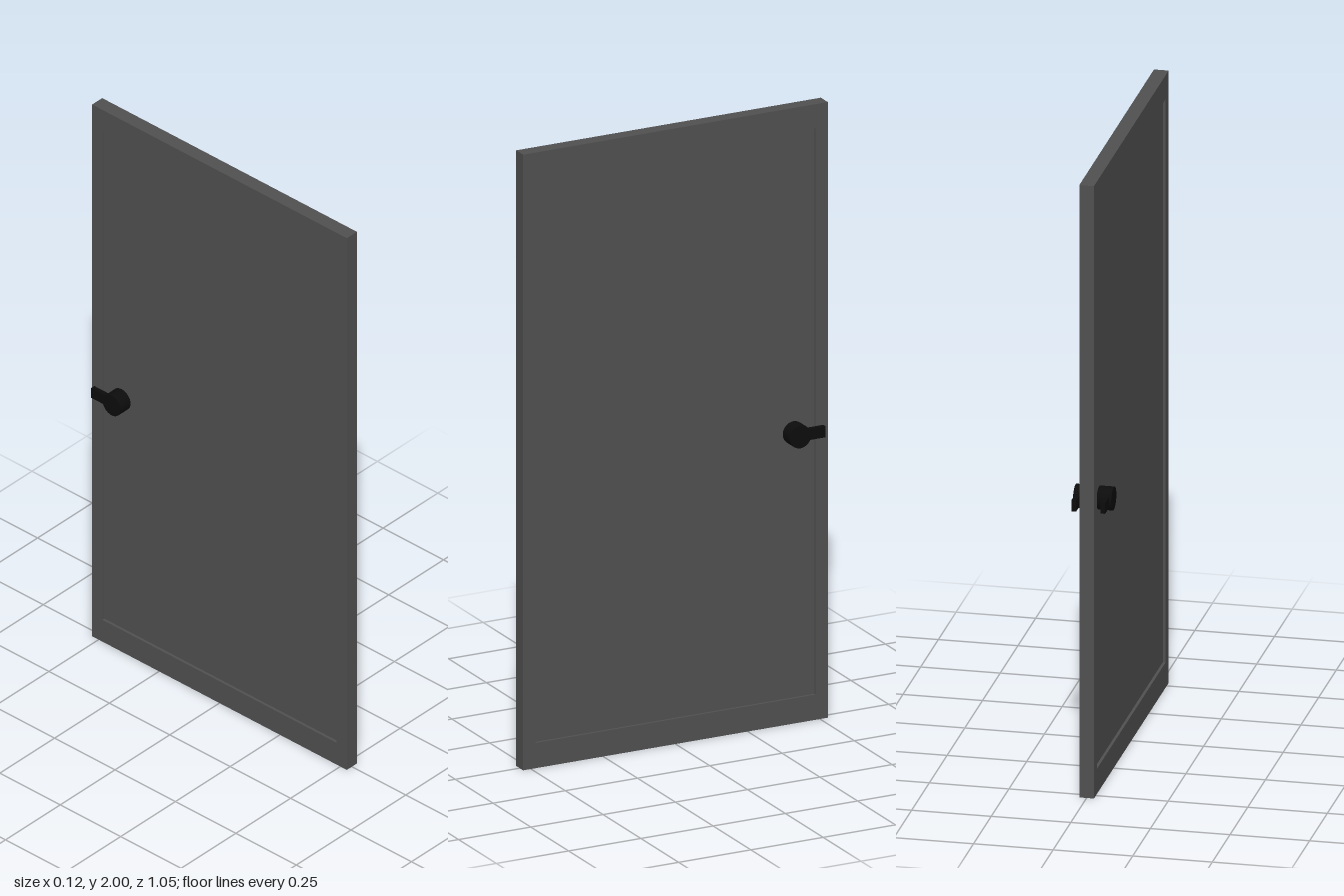
import * as THREE from 'three';

const H = 2, HALF_W = 0.527, HALF_T = 0.023;

export function createModel() {
  const door = new THREE.Group();
  door.name = 'door';
  const paint = new THREE.MeshStandardMaterial({ color: 0x505050 });
  const black = new THREE.MeshStandardMaterial({ color: 0x0c0c0c });

  const add = (name, geometry, material, x, y, z) => {
    const mesh = new THREE.Mesh(geometry, material);
    mesh.name = name;
    mesh.position.set(x, y, z);
    door.add(mesh);
    return mesh;
  };

  // Border frame: outline with a rectangular opening, extruded through the thickness
  const rect = (Type, w, y0, y1) => new Type([
    new THREE.Vector2(-w, y0), new THREE.Vector2(w, y0),
    new THREE.Vector2(w, y1), new THREE.Vector2(-w, y1),
  ]);
  const outline = rect(THREE.Shape, HALF_W, 0, H);
  outline.holes.push(rect(THREE.Path, 0.485, 0.082, 1.922));
  const frame = new THREE.ExtrudeGeometry(outline, { depth: HALF_T * 2, bevelEnabled: false });
  frame.translate(0, 0, -HALF_T).rotateY(Math.PI / 2);
  add('frame', frame, paint, 0, 0, 0);

  // Recessed panel
  add('panel', new THREE.BoxGeometry(0.028, 1.84, 0.97), paint, 0, 1.002, 0);

  // Handle on each side: round rose with a lever towards the free edge
  for (const [side, s] of [['left', 1], ['right', -1]]) {
    const rose = new THREE.CylinderGeometry(0.037, 0.037, 0.055, 32).rotateZ(Math.PI / 2);
    add(`${side}HandleRose`, rose, black, s * 0.0325, 0.942, -0.413);
    add(`${side}HandleLever`, new THREE.BoxGeometry(0.015, 0.036, 0.091), black, s * 0.0455, 0.942, -0.4585);
  }

  return door;
}
